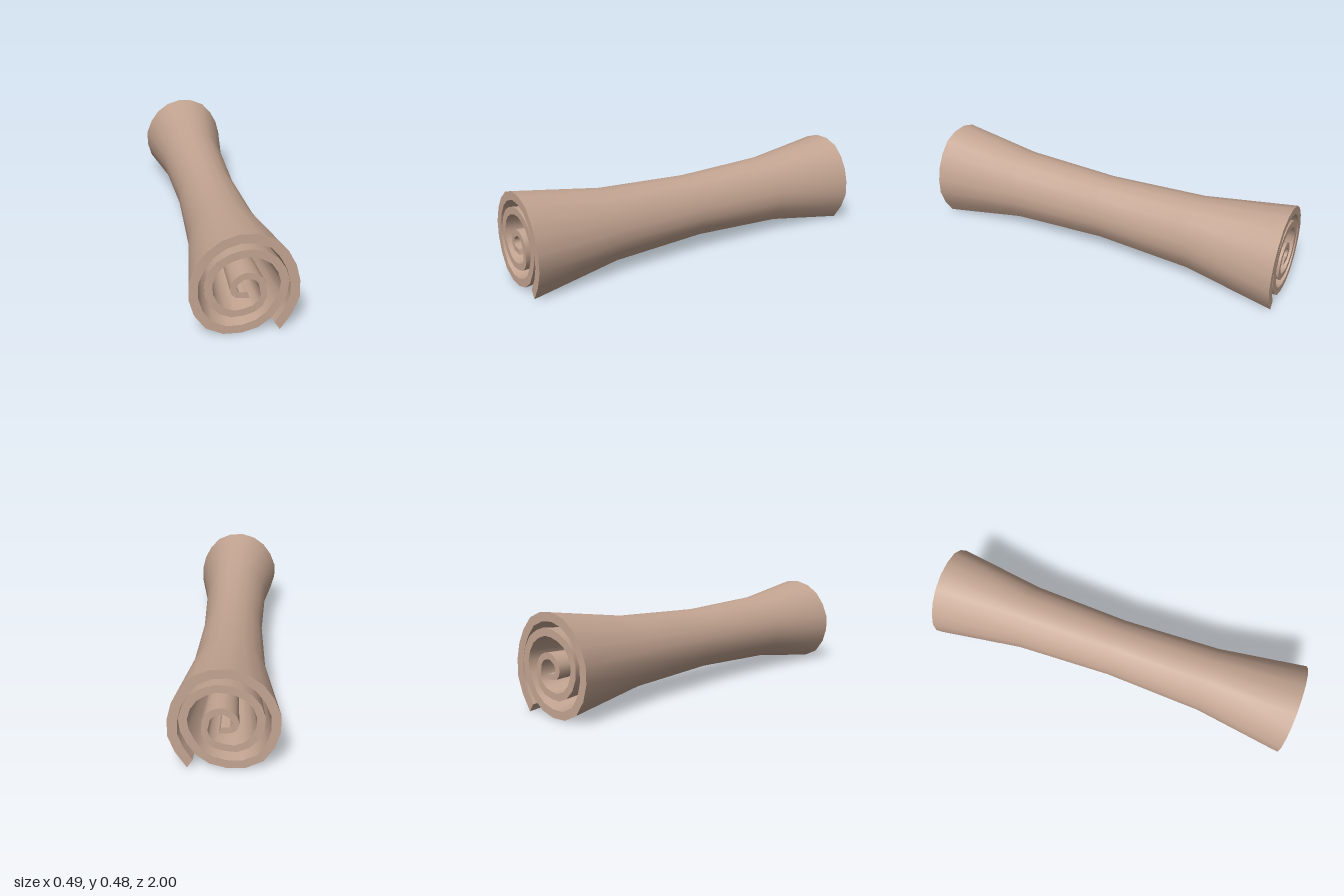
import * as THREE from 'three';
import { toCreasedNormals } from 'three/addons/utils/BufferGeometryUtils.js';

// Outer radius of the rolled sheet every 19 degrees, from the loose lip to the inner curl
const RADII = [
  161, 149, 143, 135, 132, 133, 138, 138, 138, 137, 135.5, 135, 138, 140, 143.5, 147, 142, 133, 126, 118,
  110, 109, 109, 106, 104, 100, 98, 95, 95, 98, 100, 101, 100, 99, 97, 92, 84, 80, 75,
  66, 55, 51, 46, 41, 37, 35, 33.5, 32, 32, 34, 36, 39, 40.5, 40, 36, 34, 37,
].map((r) => r / 561);
const STEP = THREE.MathUtils.degToRad(19);
const START = THREE.MathUtils.degToRad(-56);
const CENTRE_Y = 0.241;

// Stations along the roll: [z, scale], narrowest at the middle
const STATIONS = [[-1, 1], [-0.53, 0.727], [0, 0.645], [0.53, 0.727], [1, 1]];

// Closed cross-section: outer side inward along the spiral, then back along the inner side
function spiralSection() {
  const last = RADII.length - 1;
  const at = (r, k) => [r * Math.cos(START + k * STEP), r * Math.sin(START + k * STEP)];
  const outer = RADII.map((r, k) => at(r, k));
  const inner = RADII.map((r, k) => at(r - 0.0455 + 0.017 * (k / last), k));
  return [...outer, ...inner.reverse()];
}

function rolledSheet() {
  const section = spiralSection();
  const n = section.length;
  const positions = [];
  const index = [];
  const quad = (a, b, c, d) => index.push(a, b, c, a, c, d);

  for (const [z, s] of STATIONS) {
    for (const [x, y] of section) positions.push(x * s, CENTRE_Y + y * s, z);
  }
  // Surfaces along the length
  for (let j = 0; j < STATIONS.length - 1; j++) {
    for (let i = 0; i < n; i++) {
      const next = (i + 1) % n;
      quad(j * n + i, j * n + next, (j + 1) * n + next, (j + 1) * n + i);
    }
  }
  // Spiral end faces
  const front = (STATIONS.length - 1) * n;
  for (let k = 0; k < RADII.length - 1; k++) {
    const m = n - 1 - k;
    quad(front + k, front + k + 1, front + m - 1, front + m);
    quad(m, m - 1, k + 1, k);
  }

  const geometry = new THREE.BufferGeometry();
  geometry.setAttribute('position', new THREE.Float32BufferAttribute(positions, 3));
  geometry.setIndex(index);
  return toCreasedNormals(geometry.toNonIndexed(), 0.75);
}

export function createModel() {
  const group = new THREE.Group();
  group.name = 'rolledScroll';
  const bark = new THREE.MeshStandardMaterial({ color: 0xc4a592 });
  bark.name = 'paleBrown';
  const sheet = new THREE.Mesh(rolledSheet(), bark);
  sheet.name = 'rolledSheet';
  group.add(sheet);
  return group;
}
